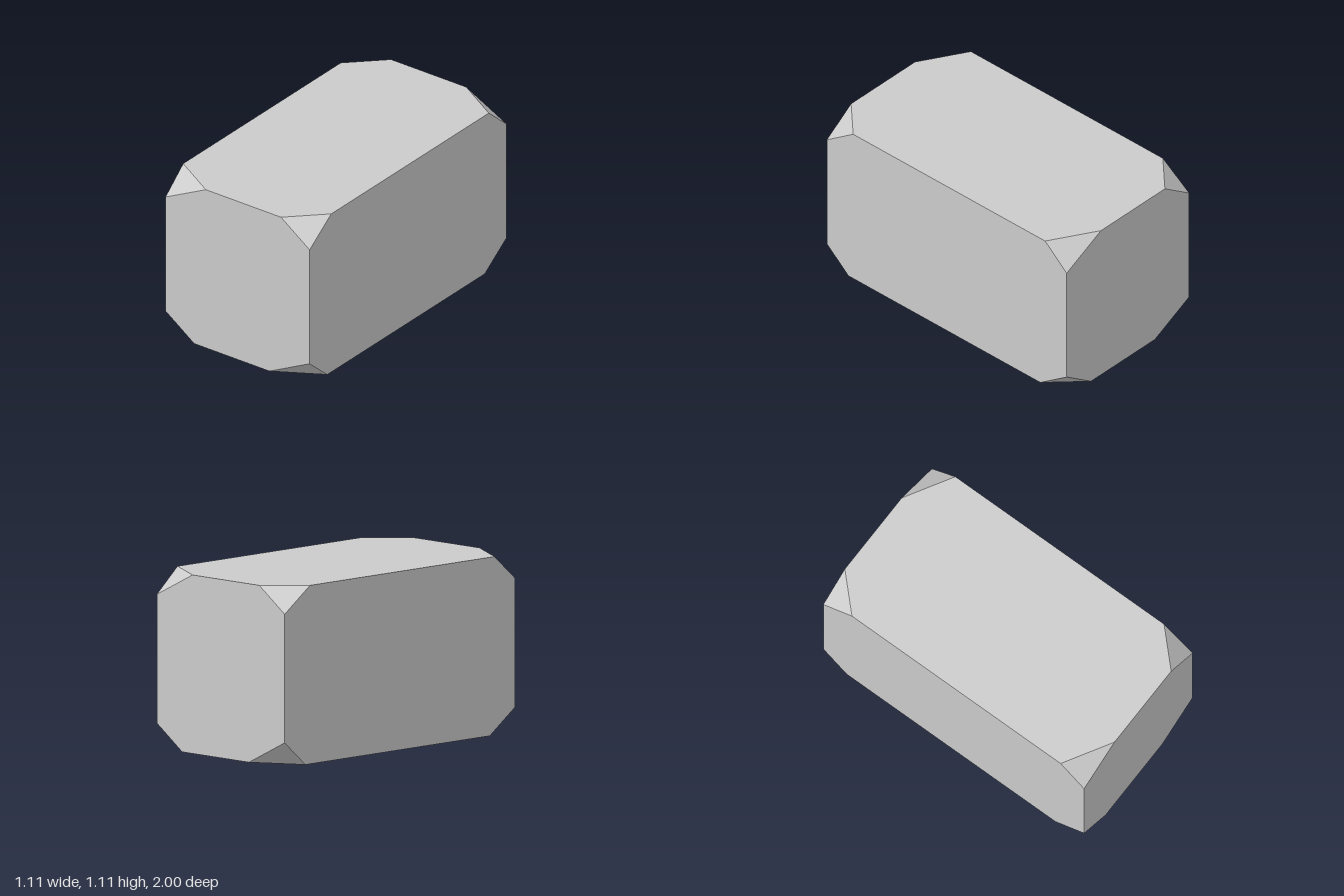
import * as THREE from 'three';
import { ConvexGeometry } from 'three/addons/geometries/ConvexGeometry.js';

// Half sizes of the block
const HX = 0.554, HY = 0.554, HZ = 1;
// Corner cuts along x, y, z; the two kinds alternate around the block
const SMALL_CUT = [0.22, 0.155, 0.22];
const WIDE_CUT = [0.31, 0.155, 0.18];

export function createModel() {
  const group = new THREE.Group();
  group.name = 'crystal';

  // Each corner of the box becomes three points, one along each edge
  const points = [];
  for (const sx of [-1, 1]) for (const sy of [-1, 1]) for (const sz of [-1, 1]) {
    const [cx, cy, cz] = sx * sy * sz > 0 ? SMALL_CUT : WIDE_CUT;
    points.push(
      new THREE.Vector3(sx * (HX - cx), sy * HY, sz * HZ),
      new THREE.Vector3(sx * HX, sy * (HY - cy), sz * HZ),
      new THREE.Vector3(sx * HX, sy * HY, sz * (HZ - cz)),
    );
  }

  const block = new THREE.Mesh(
    new ConvexGeometry(points),
    new THREE.MeshStandardMaterial({ color: 0xcccccc, flatShading: true }),
  );
  block.name = 'truncatedBlock';
  block.position.y = HY;
  group.add(block);
  return group;
}
